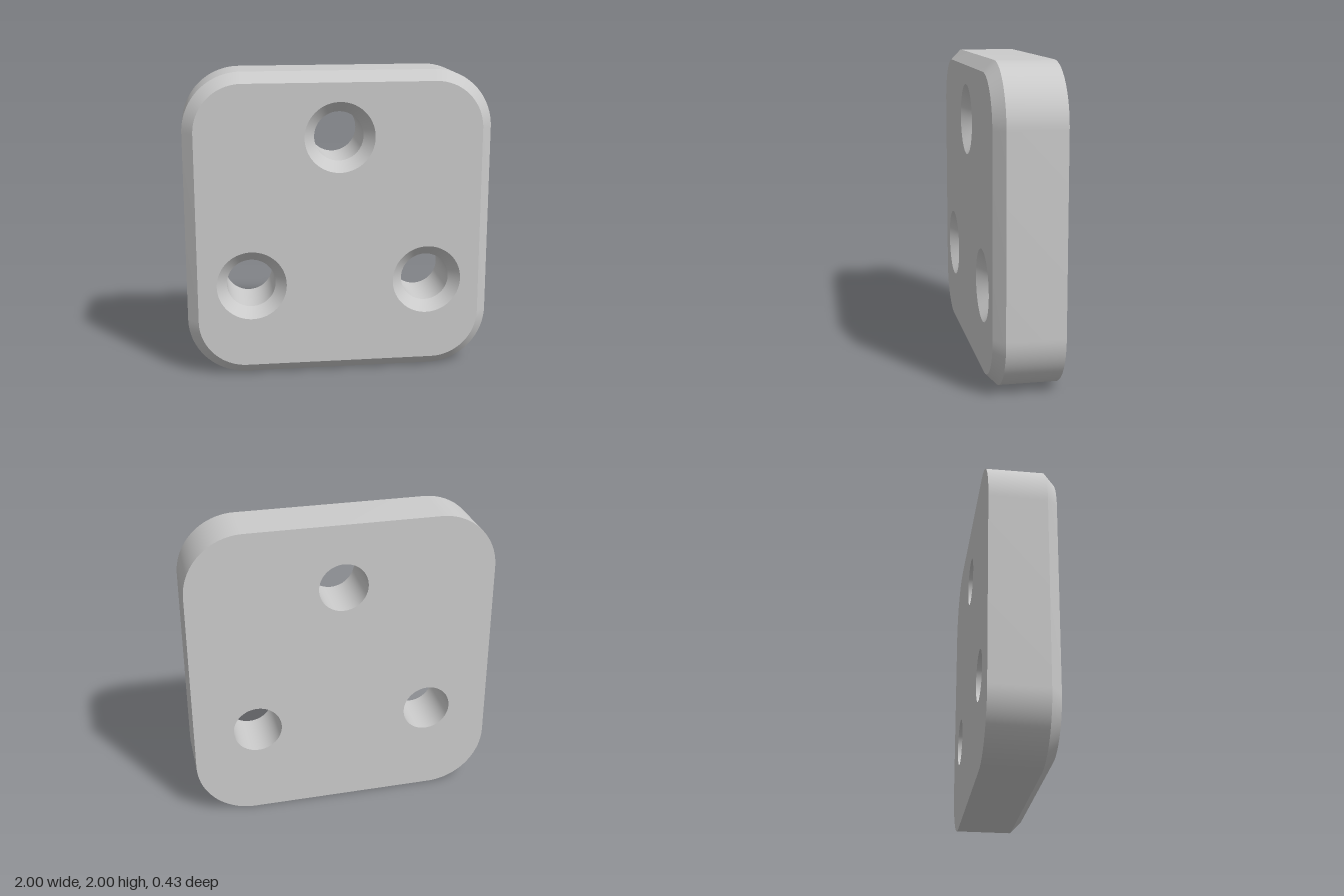
import * as THREE from 'three';
import { toCreasedNormals } from 'three/addons/utils/BufferGeometryUtils.js';

const BACK = -0.217, STEP = 0.149, FRONT = 0.217; // z levels
const CORNER = 0.62;                              // corner arc centre offset
const HOLES = [[0, 1.58], [-0.58, 0.615], [0.58, 0.615]];
const material = new THREE.MeshStandardMaterial({ color: 0xcccccc });

// Rounded square outline, counter-clockwise, centred on (0, 1)
function outline(radius, steps = 24) {
  const points = [];
  for (let c = 0; c < 4; c++) {
    const mid = (c + 0.5) * Math.PI / 2;
    const cx = Math.sign(Math.cos(mid)) * CORNER;
    const cy = 1 + Math.sign(Math.sin(mid)) * CORNER;
    for (let i = 0; i <= steps; i++) {
      const a = (c + i / steps) * Math.PI / 2;
      points.push(new THREE.Vector2(cx + radius * Math.cos(a), cy + radius * Math.sin(a)));
    }
  }
  return points;
}

// Clockwise circle, so that walls built from it face the hole axis
function circle([cx, cy], radius, steps = 72) {
  return Array.from({ length: steps }, (_, i) => {
    const a = -i / steps * Math.PI * 2;
    return new THREE.Vector2(cx + radius * Math.cos(a), cy + radius * Math.sin(a));
  });
}

// Wall joining a loop at z0 to a matching loop at z1
function band(loop0, z0, loop1, z1) {
  const n = loop0.length, position = [], index = [];
  for (let i = 0; i < n; i++) {
    const j = (i + 1) % n;
    position.push(loop0[i].x, loop0[i].y, z0, loop1[i].x, loop1[i].y, z1);
    index.push(2 * i, 2 * j, 2 * j + 1, 2 * i, 2 * j + 1, 2 * i + 1);
  }
  const geometry = new THREE.BufferGeometry();
  geometry.setAttribute('position', new THREE.Float32BufferAttribute(position, 3));
  geometry.setIndex(index);
  return toCreasedNormals(geometry, Math.PI / 6);
}

// Flat rounded square pierced by the three holes
function face(radius, holeRadius) {
  const shape = new THREE.Shape(outline(radius));
  shape.holes = HOLES.map((h) => new THREE.Path(circle(h, holeRadius)));
  return new THREE.ShapeGeometry(shape);
}

export function createModel() {
  const group = new THREE.Group();
  group.name = 'mountingPlate';
  const add = (name, geometry) => {
    const mesh = new THREE.Mesh(geometry, material);
    mesh.name = name;
    group.add(mesh);
  };

  const outer = outline(0.38), inner = outline(0.311);
  add('frontFace', face(0.311, 0.228).translate(0, 0, FRONT));
  // The hole pattern is symmetric, so the back face is simply turned around
  add('backFace', face(0.38, 0.16).rotateY(Math.PI).translate(0, 0, BACK));
  add('sideWall', band(outer, BACK, outer, STEP));
  add('frontChamfer', band(outer, STEP, inner, FRONT));

  // Countersunk through holes
  HOLES.forEach((h, i) => {
    const bore = circle(h, 0.16), sink = circle(h, 0.228);
    add(`bore${i + 1}`, band(bore, BACK, bore, STEP));
    add(`countersink${i + 1}`, band(bore, STEP, sink, FRONT));
  });
  return group;
}
